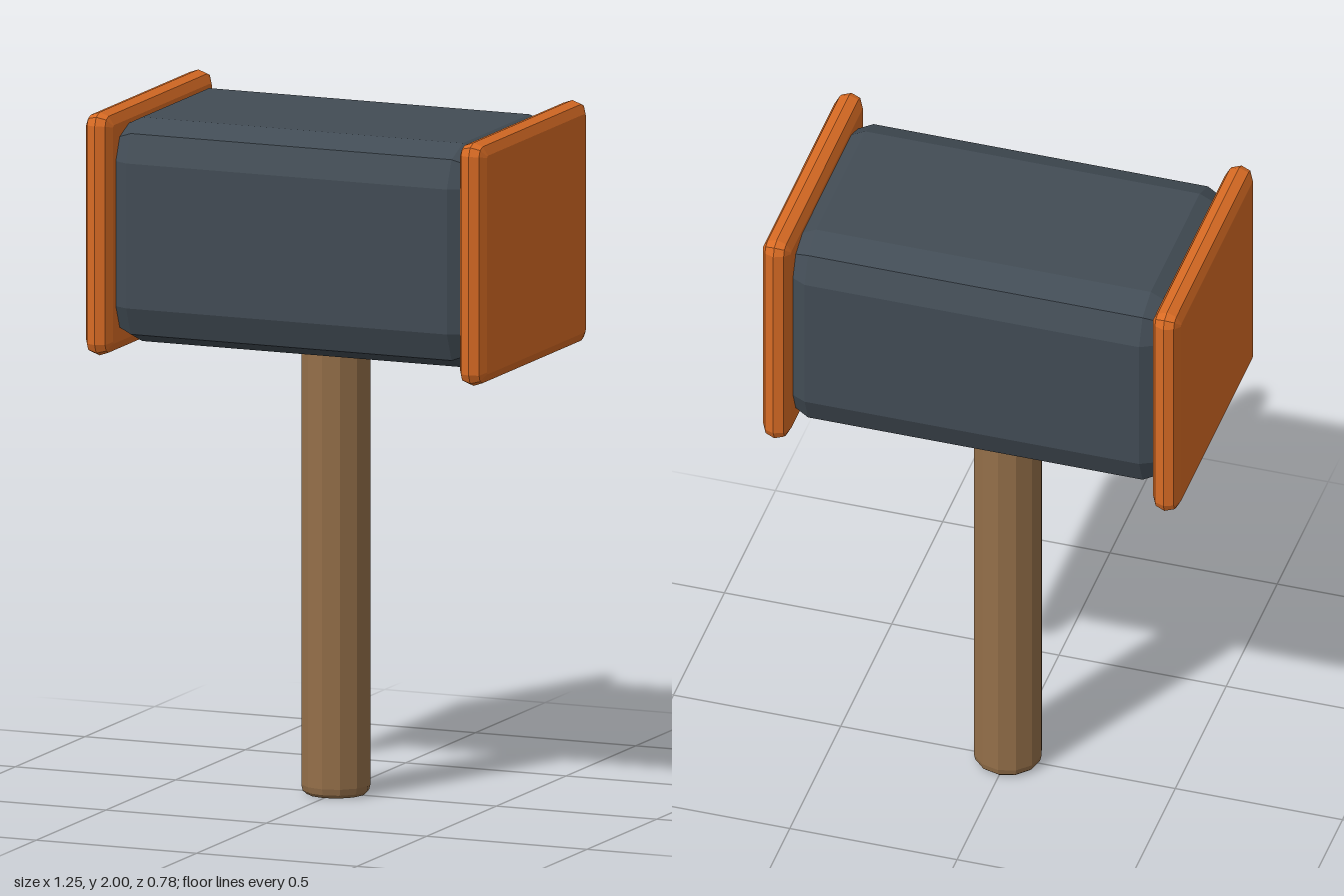
import * as THREE from 'three';

const HEAD_Y = 1.646;

// Rounded-rectangle outline in (z, y) with two-facet corners
function outline(halfZ, halfY, radius) {
  const points = [];
  for (let corner = 0; corner < 4; corner++) {
    const sz = corner === 0 || corner === 3 ? 1 : -1;
    const sy = corner < 2 ? 1 : -1;
    for (let k = 0; k < 3; k++) {
      const a = (corner + k / 2) * Math.PI / 2;
      points.push([
        sz * (halfZ - radius) + radius * Math.cos(a),
        sy * (halfY - radius) + radius * Math.sin(a),
      ]);
    }
  }
  return points;
}

// Bevelled block lofted along x; profile lists [x, inset] from left to right
function bevelledBlock(profile, halfZ, halfY, radius) {
  const positions = [], index = [];
  const n = 12;
  for (const [x, inset] of profile) {
    const ring = outline(halfZ - inset, halfY - inset, Math.max(radius - inset, 0.006));
    for (const [z, y] of ring) positions.push(x, y, z);
  }
  for (let i = 0; i < profile.length - 1; i++) {
    for (let j = 0; j < n; j++) {
      const a = i * n + j, b = i * n + (j + 1) % n;
      index.push(a, a + n, b + n, a, b + n, b);
    }
  }
  const last = (profile.length - 1) * n;
  for (let j = 1; j < n - 1; j++) {
    index.push(0, j, j + 1, last, last + j + 1, last + j);
  }
  const geometry = new THREE.BufferGeometry();
  geometry.setAttribute('position', new THREE.Float32BufferAttribute(positions, 3));
  geometry.setIndex(index);
  const flat = geometry.toNonIndexed();
  flat.computeVertexNormals();
  return flat;
}

function material(name, color) {
  const m = new THREE.MeshStandardMaterial({ color });
  m.name = name;
  return m;
}

export function createModel() {
  const group = new THREE.Group();
  group.name = 'mallet';
  const slate = material('slate', 0x424c55);
  const orange = material('orange', 0xd86b24);
  const wood = material('wood', 0x946f49);

  function add(name, geometry, mat, x, y) {
    const mesh = new THREE.Mesh(geometry, mat);
    mesh.name = name;
    mesh.position.set(x, y, 0);
    group.add(mesh);
  }

  // Head block, tapering slightly at both ends
  const headProfile = [[-0.57, 0.035], [-0.5, 0], [0.5, 0], [0.57, 0.035]];
  add('head', bevelledBlock(headProfile, 0.355, 0.326, 0.115), slate, 0, HEAD_Y);

  // Striking plates
  const plateProfile = [[-0.042, 0.036], [-0.028, 0.01], [0, 0], [0.028, 0.01], [0.042, 0.036]];
  const plate = bevelledBlock(plateProfile, 0.39, 0.354, 0.036);
  add('leftPlate', plate, orange, 0.583, HEAD_Y);
  add('rightPlate', plate, orange, -0.583, HEAD_Y);

  // Handle with a bevelled foot
  const handleProfile = [[0, 0], [0.085, 0], [0.096, 0.01], [0.1, 0.028], [0.1, 1.4]]
    .map(([r, y]) => new THREE.Vector2(r, y));
  const handle = new THREE.LatheGeometry(handleProfile, 12).toNonIndexed();
  handle.computeVertexNormals();
  add('handle', handle, wood, 0, 0);

  return group;
}
